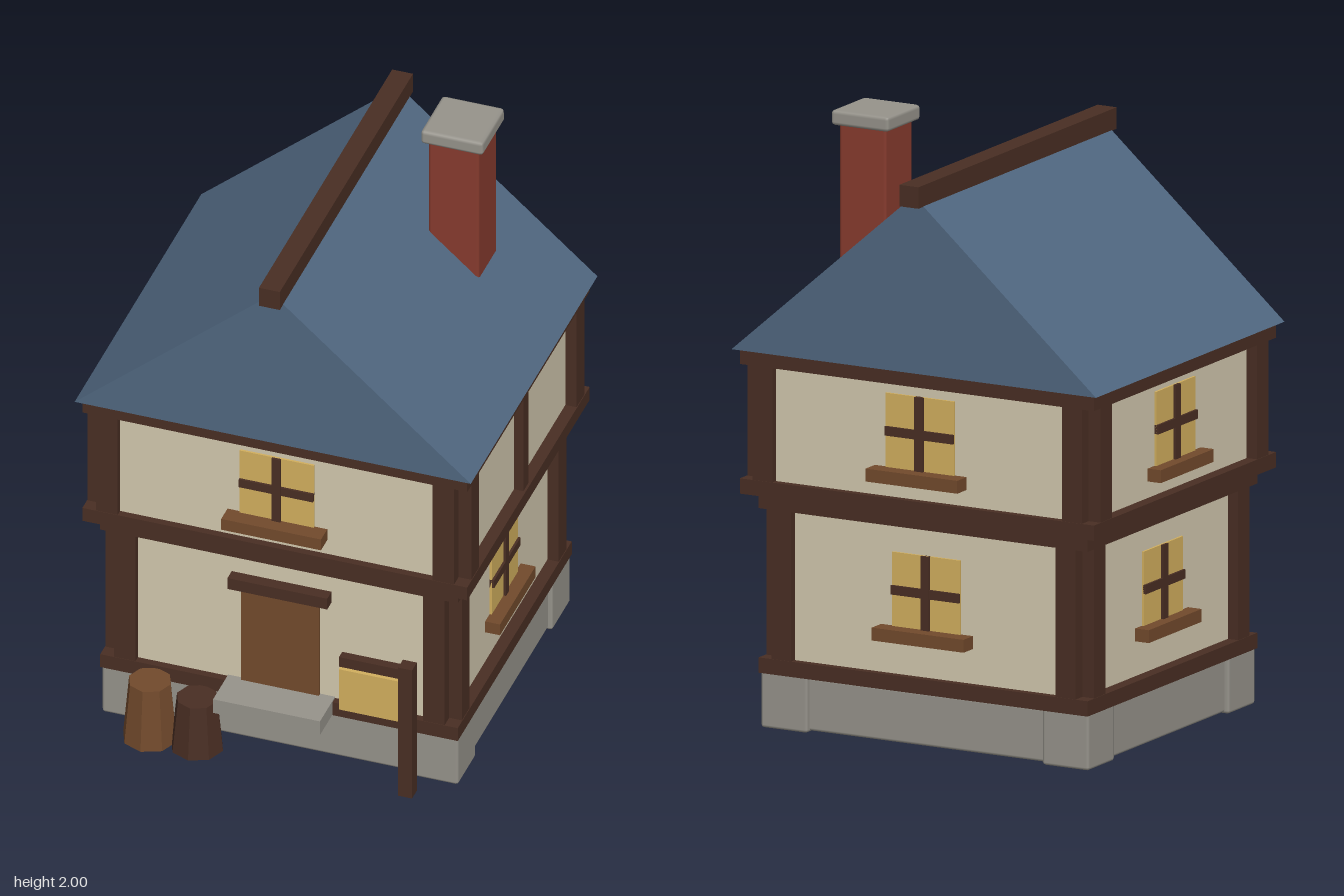
import * as THREE from 'three';
import { RoundedBoxGeometry } from 'three/addons/geometries/RoundedBoxGeometry.js';

const ZC = -0.036; // house centre in z

function paint(name, color) {
  const m = new THREE.MeshStandardMaterial({ color });
  m.name = name;
  return m;
}

export function createModel() {
  const timber = paint('dark timber', 0x492e23);
  const wood = paint('brown wood', 0x724a2c);
  const plaster = paint('cream plaster', 0xd2c8ae);
  const glass = paint('amber glass', 0xd2af5e);
  const stone = paint('grey stone', 0x96938b);
  const slate = paint('blue slate', 0x506780);
  const brick = paint('red brick', 0x873b2e);

  const model = new THREE.Group();
  model.name = 'house';

  function add(parent, name, geometry, material, x, y, z) {
    const mesh = new THREE.Mesh(geometry, material);
    mesh.name = name;
    mesh.position.set(x, y, z);
    parent.add(mesh);
    return mesh;
  }
  // box given by its limits on each axis
  function box(parent, name, material, x0, x1, y0, y1, z0, z1, bevel = 0) {
    const [w, h, d] = [x1 - x0, y1 - y0, z1 - z0];
    const geo = bevel ? new RoundedBoxGeometry(w, h, d, 1, bevel) : new THREE.BoxGeometry(w, h, d);
    return add(parent, name, geo, material, (x0 + x1) / 2, (y0 + y1) / 2, (z0 + z1) / 2);
  }
  function group(name, parent = model) {
    const g = new THREE.Group();
    g.name = name;
    parent.add(g);
    return g;
  }

  // Stone base: core, with a block at each corner
  const base = group('foundation');
  base.position.z = ZC;
  box(base, 'foundationCore', stone, -0.585, 0.585, 0.005, 0.18, -0.515, 0.515, 0.01);
  for (const sx of [-1, 1]) for (const sz of [-1, 1]) {
    add(base, 'cornerStone', new RoundedBoxGeometry(0.17, 0.187, 0.17, 1, 0.01), stone,
      sx * 0.515, 0.0935, sz * 0.447);
  }

  // One timber-framed storey: plaster walls, beams and paired corner posts
  function storey(name, hx, hz, y0, y1) {
    const g = group(name);
    g.position.z = ZC;
    const t = 0.05, n = 0.045, wx = hx - 0.04, wz = hz - 0.025, p = 0.118;
    box(g, 'sideWalls', plaster, -wx, wx, y0 + 0.01, y1 - 0.01, -hz + p - 0.01, hz - p + 0.01);
    box(g, 'frontBackWalls', plaster, -hx + p - 0.01, hx - p + 0.01, y0 + 0.01, y1 - 0.01, -wz, wz);
    for (const s of [-1, 1]) {
      for (const y of [y0, y1 - t]) {
        add(g, 'frontBackBeam', new THREE.BoxGeometry(2 * hx, t, 0.08), timber, 0, y + t / 2, s * (hz - 0.04));
        add(g, 'sideBeam', new THREE.BoxGeometry(0.08, t, 2 * hz - 0.16), timber, s * (hx - 0.04), y + t / 2, 0);
      }
      for (const sz of [-1, 1]) {
        const h = y1 - y0 - 2 * t, ym = (y0 + y1) / 2;
        add(g, 'frontBackPost', new THREE.BoxGeometry(p - n, h, p), timber,
          s * (hx - (p + n) / 2), ym, sz * (hz - p / 2 - 0.002));
        add(g, 'sidePost', new THREE.BoxGeometry(n, h, p - n), timber,
          s * (hx - n / 2 - 0.002), ym, sz * (hz - (p + n) / 2));
      }
    }
    return { g, wx, wz };
  }
  const lower = storey('lowerStorey', 0.602, 0.54, 0.18, 0.767);
  const upper = storey('upperStorey', 0.648, 0.58, 0.767, 1.24);
  box(upper.g, 'overhangFloor', timber, -0.605, 0.605, 0.766, 0.775, -0.55, 0.55);
  box(upper.g, 'middlePost', timber, 0.6, 0.64, 0.815, 1.192, -0.025, 0.025);

  // Window: amber pane, cross bars and a sill, facing +z before it is turned
  function makeWindow(parent, name, y, dist, angle, sillDepth) {
    const turn = group(name, parent);
    turn.rotation.y = angle;
    const w = group('windowParts', turn);
    w.position.set(0, y, dist);
    box(w, 'pane', glass, -0.125, 0.125, 0, 0.242, -0.002, 0.007);
    box(w, 'uprightBar', timber, -0.015, 0.015, 0, 0.242, 0, 0.016);
    box(w, 'crossBar', timber, -0.125, 0.125, 0.104, 0.134, 0, 0.015);
    box(w, 'sill', wood, -0.168, 0.168, -0.042, 0, -0.01, sillDepth);
  }
  const H = Math.PI / 2;
  makeWindow(lower.g, 'rightWindow', 0.386, lower.wx, H, 0.05);
  makeWindow(lower.g, 'leftWindow', 0.386, lower.wx, -H, 0.05);
  makeWindow(lower.g, 'backWindow', 0.386, lower.wz, Math.PI, 0.06);
  makeWindow(upper.g, 'upperFrontWindow', 0.913, upper.wz, 0, 0.06);
  makeWindow(upper.g, 'upperBackWindow', 0.913, upper.wz, Math.PI, 0.06);
  makeWindow(upper.g, 'upperSideWindow', 0.913, upper.wx, -H, 0.048);

  // Door, lintel and step
  const entry = group('entrance');
  box(entry, 'door', wood, -0.133, 0.13, 0.23, 0.602, 0.46, 0.492);
  box(entry, 'lintel', timber, -0.168, 0.168, 0.6, 0.642, 0.46, 0.52);
  box(entry, 'doorStep', stone, -0.18, 0.18, 0.182, 0.235, 0.44, 0.622);

  // Roof prism, ridge beam
  const gable = new THREE.Shape([[-0.667, 1.24], [0.667, 1.24], [0, 1.82]].map(p => new THREE.Vector2(...p)));
  const roofGeo = new THREE.ExtrudeGeometry(gable, { depth: 1.2, bevelEnabled: false });
  add(model, 'roof', roofGeo, slate, 0, 0, ZC - 0.6);
  box(model, 'ridgeBeam', timber, -0.035, 0.035, 1.788, 1.858, -0.667, 0.595);

  // Chimney
  const chimney = group('chimney');
  box(chimney, 'chimneyStack', brick, 0.247, 0.418, 1.3, 1.96, -0.385, -0.213, 0.01);
  box(chimney, 'chimneyCap', stone, 0.227, 0.438, 1.95, 2.0, -0.405, -0.194, 0.012);

  // Hanging sign on a post
  const sign = group('sign');
  box(sign, 'signPost', timber, 0.439, 0.486, 0, 0.5, 0.565, 0.611);
  box(sign, 'signArm', timber, 0.237, 0.45, 0.45, 0.487, 0.572, 0.603);
  box(sign, 'signBoard', glass, 0.233, 0.436, 0.275, 0.432, 0.575, 0.593);

  // Tapered stumps beside the door
  function stump(name, material, x, z, r, h) {
    const geo = new THREE.CylinderGeometry(r * 0.78, r, h, 8).toNonIndexed();
    geo.computeVertexNormals();
    add(model, name, geo, material, x, h / 2, z);
  }
  stump('tallStump', wood, -0.411, 0.57, 0.09, 0.22);
  stump('shortStump', timber, -0.253, 0.567, 0.087, 0.19);

  return model;
}
